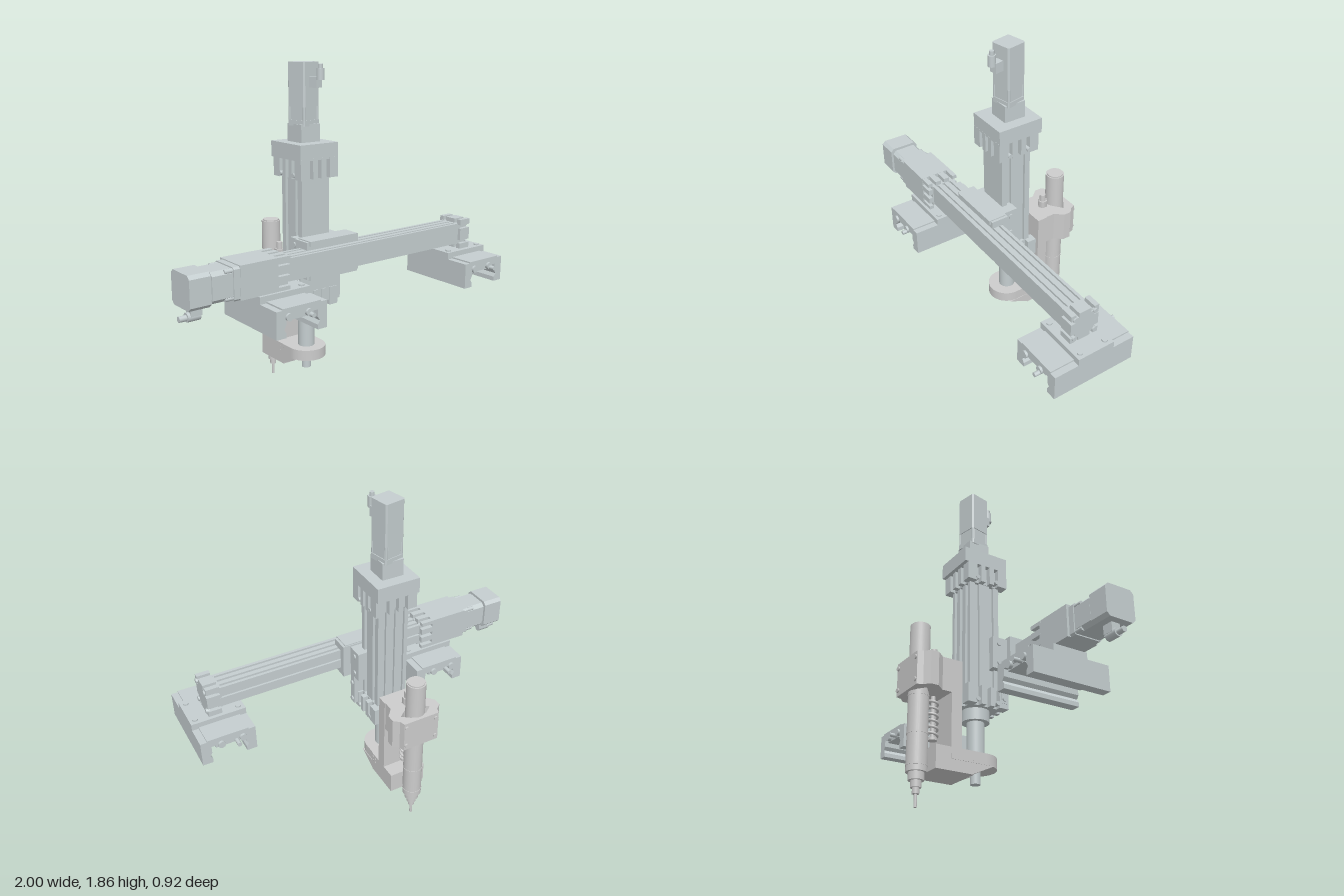
import * as THREE from 'three';

const axisMat = new THREE.MeshStandardMaterial({ color: 0xc4cdcf });
const toolMat = new THREE.MeshStandardMaterial({ color: 0xcccccc });
const CX = -0.09, CZ = -0.05; // centre line of the vertical axis

export function createModel() {
  const root = new THREE.Group();
  let mat = axisMat;

  const add = (name, geo, parent = root) => {
    const m = new THREE.Mesh(geo, mat);
    m.name = name;
    parent.add(m);
    return m;
  };
  // Box from its limits on each axis
  const box = (name, x0, x1, y0, y1, z0, z1, parent) => add(name,
    new THREE.BoxGeometry(x1 - x0, y1 - y0, z1 - z0)
      .translate((x0 + x1) / 2, (y0 + y1) / 2, (z0 + z1) / 2), parent);
  // Upright cylinder between two heights
  const cyl = (name, r, y0, y1, x, z, parent, seg = 32) => add(name,
    new THREE.CylinderGeometry(r, r, y1 - y0, seg).translate(x, (y0 + y1) / 2, z), parent);
  // Cylinder along x or z
  const rod = (name, axis, r, len, x, y, z, parent, seg = 16) => {
    const g = new THREE.CylinderGeometry(r, r, len, seg);
    if (axis === 'x') g.rotateZ(Math.PI / 2); else g.rotateX(Math.PI / 2);
    return add(name, g.translate(x, y, z), parent);
  };
  const extrude = (shape, depth) =>
    new THREE.ExtrudeGeometry(shape, { depth, bevelEnabled: false, curveSegments: 24 });
  const shapeOf = pts => new THREE.Shape(pts.map(p => new THREE.Vector2(...p)));
  // Rectangle with notches; slot lists run bottom, right, top, left
  const grooved = (w, h, slots, sw = 0.02, sd = 0.015) => {
    const pts = [];
    const sides = [[w, h], [h, w], [w, h], [h, w]];
    sides.forEach(([len, across], i) => {
      const c = Math.cos(i * Math.PI / 2), s = Math.sin(i * Math.PI / 2);
      const put = (t, d) => pts.push([t * c - (d - across / 2) * s, t * s + (d - across / 2) * c]);
      put(-len / 2, 0);
      for (const t of slots[i]) {
        put(t - sw / 2, 0); put(t - sw / 2, sd); put(t + sw / 2, sd); put(t + sw / 2, 0);
      }
    });
    return shapeOf(pts);
  };
  const upright = (name, shape, y0, y1, x, z) =>
    add(name, extrude(shape, y1 - y0).rotateX(-Math.PI / 2).translate(x, y0, z));
  const along = (name, shape, x0, x1, y, z, parent) =>
    add(name, extrude(shape, x1 - x0).rotateY(Math.PI / 2).translate(x0, y, z), parent);

  // Vertical axis: slotted column with fingered heads
  const two = [-0.045, 0.045], three = [-0.055, 0, 0.055];
  upright('column', grooved(0.18, 0.18, [[], two, three, two], 0.026), 0.6, 1.3, CX, CZ);
  const fingers = () => grooved(0.245, 0.246, [three, three, three, three], 0.026, 0.03);
  upright('upperFingers', fingers(), 1.26, 1.37, CX, CZ + 0.003);
  box('upperHead', -0.213, 0.033, 1.36, 1.445, -0.19, 0.075);
  upright('lowerFingers', fingers(), 0.548, 0.65, CX, CZ + 0.003);
  for (const x of [-0.15, -0.03]) for (const z of [-0.11, 0.01])
    rod('headBolt', 'x', 0.012, 0.254, CX, x < -0.1 ? 1.28 : 0.57, z);
  cyl('rodCollar', 0.073, 0.485, 0.56, CX, CZ);
  cyl('pistonRod', 0.046, 0.285, 0.49, CX, CZ);
  cyl('rodTip', 0.026, 0.16, 0.3, CX, CZ);

  // Motor on top, turned slightly about its axis
  box('motorNeck', -0.152, -0.03, 1.44, 1.54, -0.125, 0);
  const motor = new THREE.Group();
  motor.name = 'verticalMotor';
  motor.position.set(CX, 0, -0.063);
  motor.rotation.y = 0.2;
  root.add(motor);
  const chamfered = (w, c) => shapeOf([[-w + c, -w], [w - c, -w], [w, -w + c], [w, w - c],
    [w - c, w], [-w + c, w], [-w, w - c], [-w, -w + c]]);
  const motorPart = (name, w, c, y0, y1) =>
    add(name, extrude(chamfered(w, c), y1 - y0).rotateX(-Math.PI / 2).translate(0, y0, 0), motor);
  motorPart('motorFlange', 0.06, 0.006, 1.53, 1.56);
  motorPart('motorBody', 0.056, 0.014, 1.56, 1.64);
  motorPart('motorHousing', 0.06, 0.008, 1.63, 1.86);
  for (const sx of [-1, 1]) for (const sz of [-1, 1])
    cyl('motorBolt', 0.009, 1.55, 1.63, sx * 0.05, sz * 0.05, motor, 12);
  box('plugBase', -0.022, 0.022, 1.73, 1.785, 0.055, 0.11, motor);
  cyl('plug', 0.021, 1.77, 1.83, 0, 0.118, motor, 16);
  cyl('plugTip', 0.013, 1.83, 1.852, 0, 0.118, motor, 16);

  // Horizontal axis: beam, end cap, drive block and motor
  const BY = 0.855, BZ = 0.17;
  along('beam', grooved(0.128, 0.12, [[-0.04, 0, 0.04], [0], [-0.04, 0, 0.04], []], 0.014, 0.012),
    -0.45, 0.83, BY, BZ);
  along('endCap', grooved(0.165, 0.175, [two, two, two, two], 0.02, 0.025), 0.815, 0.89, 0.852, BZ);
  along('endCapCore', grooved(0.12, 0.125, [[], [], [], []]), 0.8, 0.88, 0.852, BZ);
  for (const y of [-0.06, 0.06]) for (const z of [-0.06, 0.06])
    rod('endCapBolt', 'x', 0.013, 0.02, 0.888, 0.852 + y, BZ + z);
  along('driveFingers', grooved(0.185, 0.175, [three, three, three, three], 0.022, 0.025),
    -0.5, -0.418, 0.852, 0.172);
  box('driveBlock', -0.71, -0.49, 0.765, 0.94, 0.08, 0.265);
  const sideMotor = (name, w, c, x0, x1) => along(name, chamfered(w, c), x0, x1, 0.85, 0.178);
  sideMotor('sideMotorFlange', 0.085, 0.01, -0.745, -0.705);
  sideMotor('sideMotorBody', 0.079, 0.02, -0.86, -0.74);
  sideMotor('sideMotorGap', 0.072, 0.02, -0.875, -0.855);
  sideMotor('sideMotorCap', 0.087, 0.018, -0.984, -0.87);
  for (const y of [-1, 1]) for (const z of [-1, 1])
    rod('sideMotorBolt', 'x', 0.012, 0.06, -0.76, 0.85 + y * 0.068, 0.178 + z * 0.068);
  box('sidePlugBase', -0.945, -0.885, 0.715, 0.766, 0.15, 0.2);
  rod('sidePlug', 'x', 0.024, 0.07, -0.925, 0.71, 0.175);
  rod('sidePlugTip', 'x', 0.015, 0.04, -0.98, 0.708, 0.175);

  // Carriage joining the two axes
  for (const s of [-1, 1]) {
    const y = BY + s * 0.08;
    box('carriageLip', -0.245, 0.1, y - 0.02, y + 0.02, 0.07, 0.17);
    box('carriageRim', -0.23, 0.085, y + s * 0.012 - 0.013, y + s * 0.012 + 0.013, 0.075, 0.18);
  }
  box('carriagePlate', -0.245, 0.1, 0.765, 0.945, 0.07, 0.104);
  box('columnClamp', -0.215, 0.055, 0.765, 0.945, -0.02, 0.08);
  box('clampApron', -0.215, 0.055, 0.575, 0.77, 0.03, 0.07);
  for (const y of [0.6, 0.71, 0.8, 0.91])
    rod('clampBolt', 'x', 0.014, 0.285, -0.08, y, y < 0.75 ? 0.05 : 0.02);

  // Two identical feet: channel, sliding plate and bolts
  for (const x of [-0.46, 0.843]) {
    const foot = new THREE.Group();
    foot.name = 'foot';
    foot.position.x = x;
    root.add(foot);
    const half = [[0.152, 0.728], [0.152, 0.585], [0.095, 0.585], [0.095, 0.61],
      [0.108, 0.63], [0.095, 0.65], [0.095, 0.69]];
    const outline = [...half.map(([a, b]) => [-a, b]), ...half.reverse()];
    add('channel', extrude(shapeOf(outline), 0.475).translate(0, 0, -0.057), foot);
    box('slidingPlate', -0.152, 0.152, 0.727, 0.766, 0.068, 0.28, foot);
    for (const z of [-0.057, 0.28])
      box('topCover', -0.115, 0.115, 0.72, 0.736, z, z + 0.138, foot);
    box('guideBlock', -0.07, 0.07, 0.668, 0.7, -0.05, 0.41, foot);
    for (const bx of [-0.08, 0.04])
      rod('endBolt', 'z', 0.02, 0.5, bx, 0.69, 0.18, foot);
    rod('nipple', 'z', 0.012, 0.06, 0.045, 0.68, x < 0 ? 0.425 : 0.43, foot);
    rod('nipple', 'z', 0.012, 0.06, -0.045, 0.68, -0.07, foot);
    for (const bx of [-0.12, 0.12]) for (const z of [0.1, 0.25])
      cyl('plateBolt', 0.015, 0.76, 0.774, bx, z, foot, 16);
  }

  // Tool bracket: rounded arm, wedge foot, back plate and clamp
  mat = toolMat;
  const arm = new THREE.Shape();
  arm.moveTo(0.107, 0.255);
  arm.lineTo(-0.107, 0.255);
  arm.lineTo(-0.107, 0.048);
  arm.absarc(0, 0.048, 0.107, Math.PI, Math.PI * 2, false);
  upright('toolArm', arm, 0.235, 0.295, CX, 0);
  const wedge = shapeOf([[0.005, 0.237], [0.135, 0.175], [0.34, 0.175], [0.34, 0.295], [0.12, 0.295], [0.12, 0.237]]);
  for (const x of [-0.195, -0.02]) along('armGusset', wedge, x, x + 0.04, 0, 0);
  box('bracketFoot', -0.195, 0.02, 0.175, 0.295, -0.34, -0.125);
  box('backPlate', -0.195, 0.02, 0.175, 0.76, -0.255, -0.195);
  for (const z of [-0.13, -0.16]) for (const y of [0.25, 0.275])
    rod('footPin', 'x', 0.006, 0.22, -0.0875, y, z);
  const side = [[0.105, 0.25], [0.105, 0.31], [0.145, 0.355], [0.145, 0.4], [0.115, 0.425], [0.105, 0.456]];
  const clamp = shapeOf([...side, ...side.map(([a, b]) => [-a, b]).reverse()]);
  clamp.holes.push(new THREE.Path([[0.09, 0.39], [0.045, 0.425], [-0.045, 0.425],
    [-0.09, 0.39], [-0.045, 0.355], [0.045, 0.355]].map(p => new THREE.Vector2(...p))));
  upright('spindleClamp', clamp, 0.58, 0.76, CX, 0);
  for (const x of [-1, 1]) for (const y of [0.61, 0.73])
    rod('clampScrew', 'z', 0.012, 0.02, CX + x * 0.09, y, -0.454);

  // Spindle with stepped nose and thin bit
  const TZ = -0.387;
  const steps = [[0.053, 0.17, 0.953], [0.046, 0.953, 0.96], [0.04, 0.13, 0.17], [0.027, 0.095, 0.13],
    [0.018, 0.065, 0.095], [0.008, 0, 0.065]];
  for (const [r, y0, y1] of steps) cyl('spindle', r, y0, y1, CX, TZ);
  for (const y of [0.2, 0.36, 0.56]) cyl('spindleBand', 0.055, y, y + 0.008, CX, TZ);
  cyl('fitting', 0.028, 0.755, 0.8, CX, -0.303, root, 6);
  cyl('fittingTop', 0.017, 0.8, 0.84, CX, -0.303);

  // Coiled spring between plate and spindle
  const coil = [];
  for (let i = 0; i <= 72; i++) {
    const a = i / 12 * Math.PI * 2;
    coil.push(new THREE.Vector3(CX + 0.024 * Math.cos(a), 0.36 + i / 72 * 0.2, -0.302 + 0.024 * Math.sin(a)));
  }
  add('spring', new THREE.TubeGeometry(new THREE.CatmullRomCurve3(coil), 144, 0.007, 8));
  cyl('springPost', 0.012, 0.345, 0.6, CX, -0.302);
  cyl('springSeat', 0.024, 0.345, 0.36, CX, -0.302);

  return root;
}
